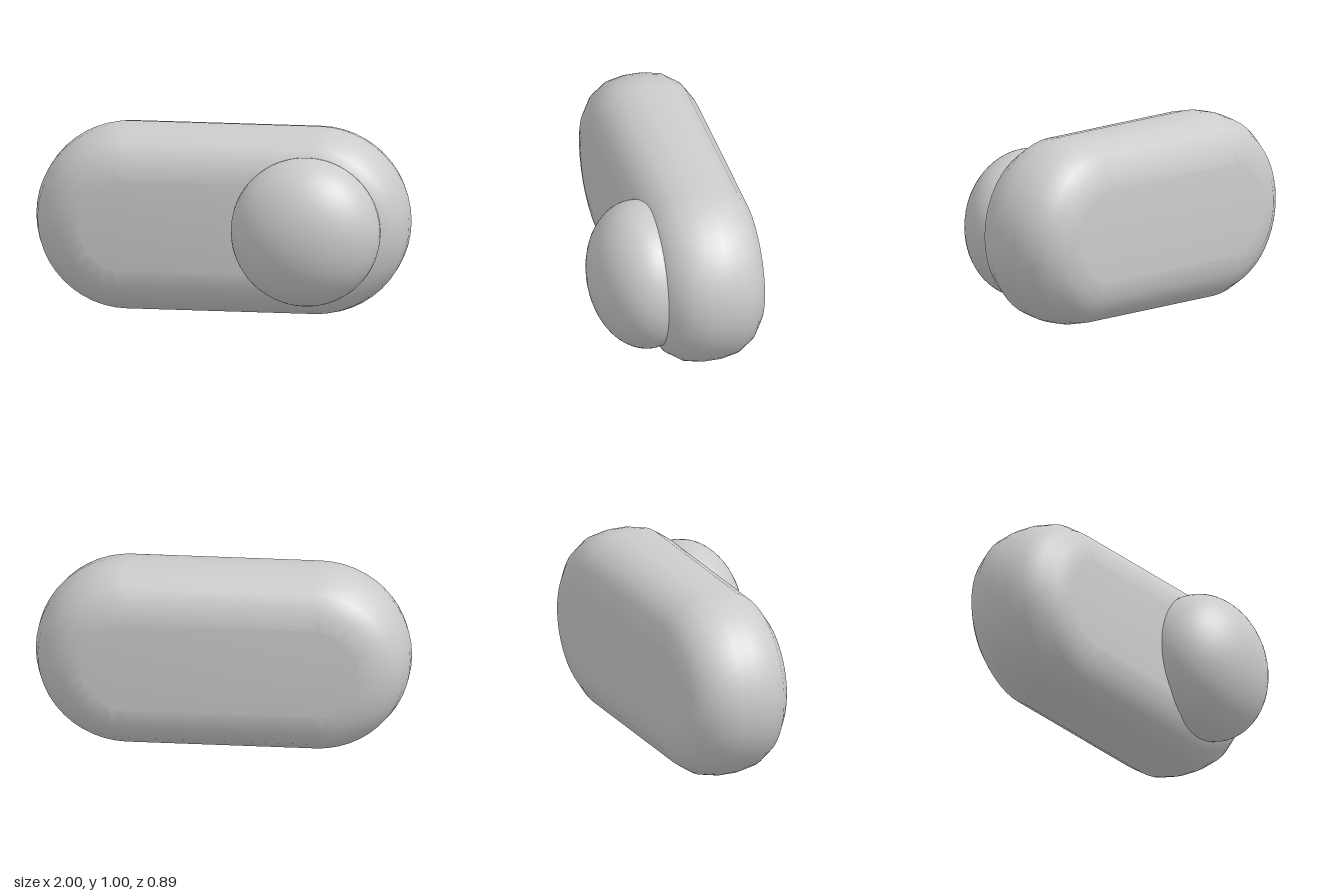
import * as THREE from 'three';
import { toCreasedNormals } from 'three/addons/utils/BufferGeometryUtils.js';

export function createModel() {
  const group = new THREE.Group();
  group.name = 'toggleSwitch';
  const material = new THREE.MeshStandardMaterial({ color: 0xcccccc });

  // Pill-shaped track: a flat stadium face swelled outward by a round bevel
  const bevel = 0.25;
  const faceRadius = 0.25;
  const halfSpan = 0.5;
  const stadium = new THREE.Shape();
  stadium.absarc(halfSpan, 0, faceRadius, -Math.PI / 2, Math.PI / 2);
  stadium.absarc(-halfSpan, 0, faceRadius, Math.PI / 2, Math.PI * 1.5);

  const trackGeometry = new THREE.ExtrudeGeometry(stadium, {
    depth: 0.095,
    bevelThickness: bevel,
    bevelSize: bevel,
    bevelSegments: 4,
    curveSegments: 12,
  });
  const track = new THREE.Mesh(toCreasedNormals(trackGeometry, 0.7), material);
  track.name = 'track';
  track.position.set(0, 0.5, -0.195);
  group.add(track);

  // Flattened ball knob set into the front of the track
  const knob = new THREE.Mesh(new THREE.SphereGeometry(0.4, 48, 32), material);
  knob.name = 'knob';
  knob.scale.z = 0.72;
  knob.position.set(0.48, 0.5, 0.155);
  group.add(knob);

  return group;
}
